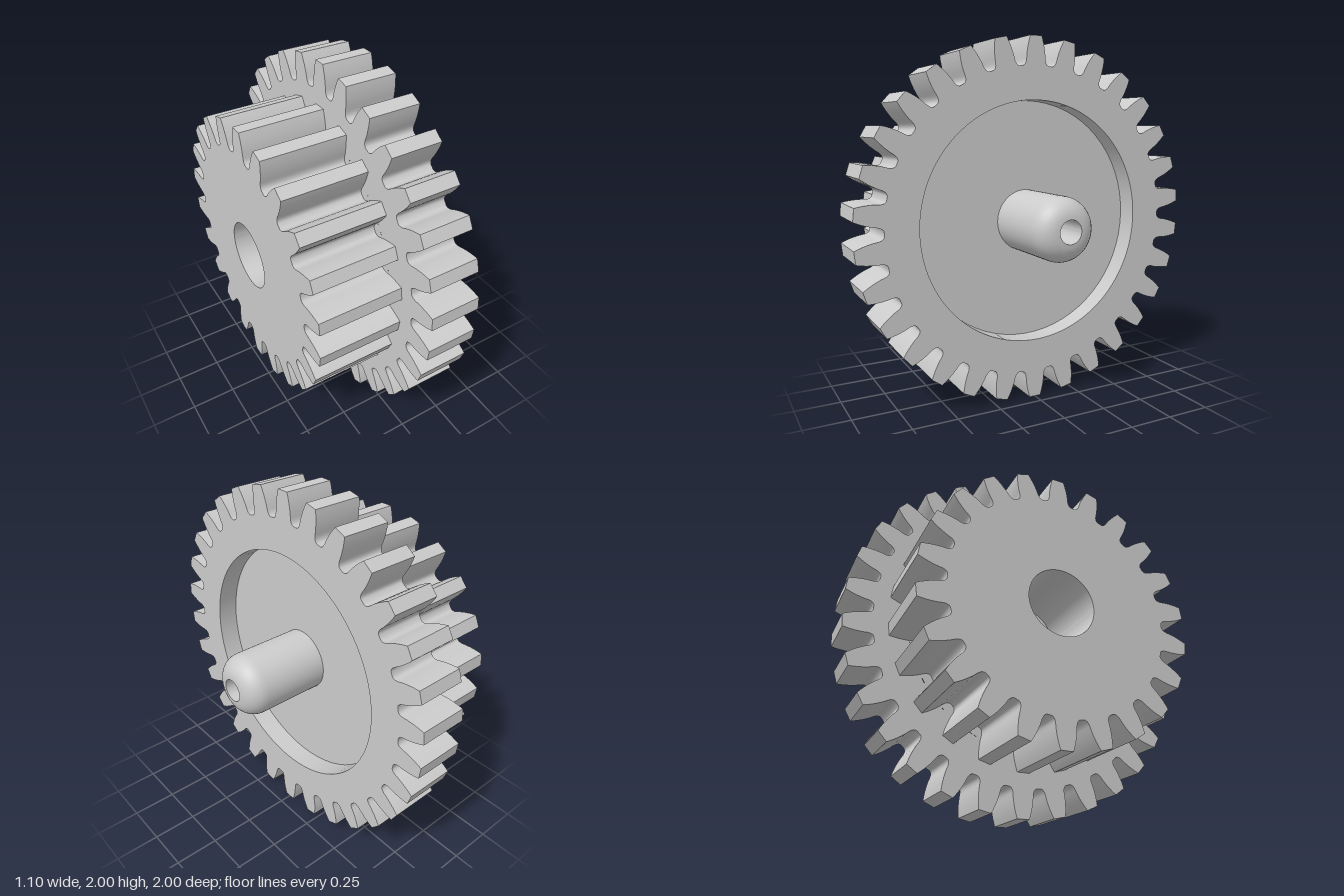
import * as THREE from 'three';
import { toCreasedNormals } from 'three/addons/utils/BufferGeometryUtils.js';

const material = new THREE.MeshStandardMaterial({ color: 0xcccccc });

// Half tooth, tip to root: [depth below the tip circle, half width]
const FLANK = [
  [0, 0.034], [0.022, 0.041], [0.045, 0.047], [0.07, 0.052], [0.1, 0.056], [0.122, 0.057],
  [0.134, 0.059], [0.144, 0.063], [0.151, 0.069], [0.154, 0.076],
];

function gearShape(teeth, radius, holeRadius) {
  const points = [];
  const half = [...FLANK].reverse();
  for (let i = 0; i < teeth; i++) {
    // One tooth points straight up
    const a = Math.PI / 2 + (i / teeth) * Math.PI * 2;
    const add = (drop, w) => {
      const r = radius - drop;
      const t = a + Math.asin(w / r);
      points.push(new THREE.Vector2(r * Math.cos(t), r * Math.sin(t)));
    };
    half.forEach(([d, w]) => add(d, -w));
    FLANK.forEach(([d, w]) => add(d, w));
  }
  const shape = new THREE.Shape(points);
  const hole = new THREE.Path();
  hole.absarc(0, 0, holeRadius, 0, Math.PI * 2, true);
  shape.holes.push(hole);
  return shape;
}

// Gear extruded along x from x0 to x1
function gear(name, teeth, radius, holeRadius, x0, x1) {
  const geo = new THREE.ExtrudeGeometry(gearShape(teeth, radius, holeRadius), {
    depth: x1 - x0, bevelEnabled: false, curveSegments: 64,
  });
  geo.rotateY(Math.PI / 2);
  geo.translate(x0, 0, 0);
  const mesh = new THREE.Mesh(toCreasedNormals(geo, 0.5), material);
  mesh.name = name;
  return mesh;
}

export function createModel() {
  const model = new THREE.Group();
  model.name = 'compoundGear';
  const back = -0.095, front = 0.18, floor = 0.06, pocket = 0.664;

  // Toothed rim around the pocket, and the narrower wide-faced gear behind it
  model.add(gear('largeGear', 30, 1, pocket, back, front));
  model.add(gear('smallGear', 22, 0.767, 0.187, -0.55, back));

  // Pocket floor and hollow round-nosed shaft, one turned profile
  const profile = [new THREE.Vector2(pocket, floor), new THREE.Vector2(0.173, floor)];
  for (let i = 0; i <= 8; i++) {
    const t = (i / 8) * Math.PI / 2;
    profile.push(new THREE.Vector2(0.063 + 0.11 * Math.cos(t), 0.435 + 0.11 * Math.sin(t)));
  }
  profile.push(new THREE.Vector2(0.063, back), new THREE.Vector2(pocket, back));
  const turned = new THREE.LatheGeometry(profile, 64);
  turned.rotateZ(-Math.PI / 2);
  const shaft = new THREE.Mesh(toCreasedNormals(turned, 0.5), material);
  shaft.name = 'webAndShaft';
  model.add(shaft);

  // Stand the teeth on the ground
  model.children.forEach((part) => { part.position.y = 1; });
  return model;
}
